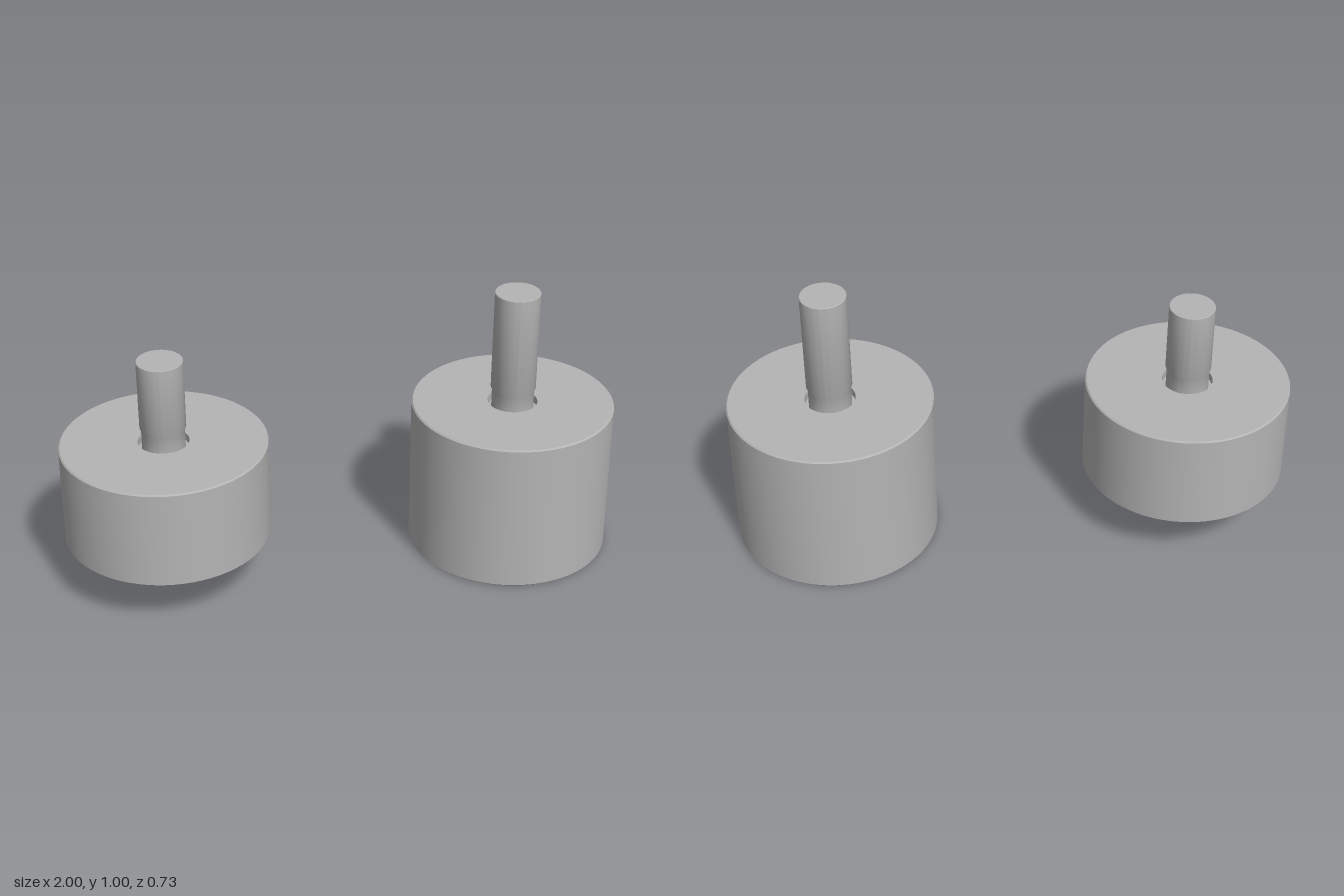
import * as THREE from 'three';
import { toCreasedNormals } from 'three/addons/utils/BufferGeometryUtils.js';

const BODY_RADIUS = 0.365;
const BODY_TOP = 0.563;
const BEVEL = 0.005;

// Spin a bottom-to-top profile of [radius, y] pairs, keeping its corners sharp
function turned(name, profile, material) {
  const points = profile.map(([r, y]) => new THREE.Vector2(r, y));
  const geometry = toCreasedNormals(new THREE.LatheGeometry(points, 72), 0.5);
  const mesh = new THREE.Mesh(geometry, material);
  mesh.name = name;
  return mesh;
}

// A drum with a stud standing in a shallow recess in its top
function buildMount(name, x, bottom, studTop, material) {
  const mount = new THREE.Group();
  mount.name = name;
  mount.position.x = x;
  const recessRadius = 0.09;
  const recessFloor = BODY_TOP - 0.03;

  mount.add(turned('drum', [
    [0, bottom],
    [BODY_RADIUS - BEVEL, bottom],
    [BODY_RADIUS, bottom + BEVEL],
    [BODY_RADIUS, BODY_TOP - BEVEL],
    [BODY_RADIUS - BEVEL, BODY_TOP],
    [recessRadius, BODY_TOP],
    [recessRadius, recessFloor],
    [0, recessFloor],
  ], material));

  // Narrow neck, short taper, then the full-width shaft
  mount.add(turned('stud', [
    [0.076, recessFloor],
    [0.076, 0.612],
    [0.081, 0.622],
    [0.081, studTop - 0.002],
    [0.079, studTop],
    [0, studTop],
  ], material));
  return mount;
}

export function createModel() {
  const model = new THREE.Group();
  model.name = 'studMounts';
  const grey = new THREE.MeshStandardMaterial({ color: 0xb4b4b4 });
  grey.name = 'grey';

  model.add(buildMount('shortMount', -0.635, 0.2, 0.877, grey));
  model.add(buildMount('tallMount', 0.635, 0, 0.995, grey));
  return model;
}
